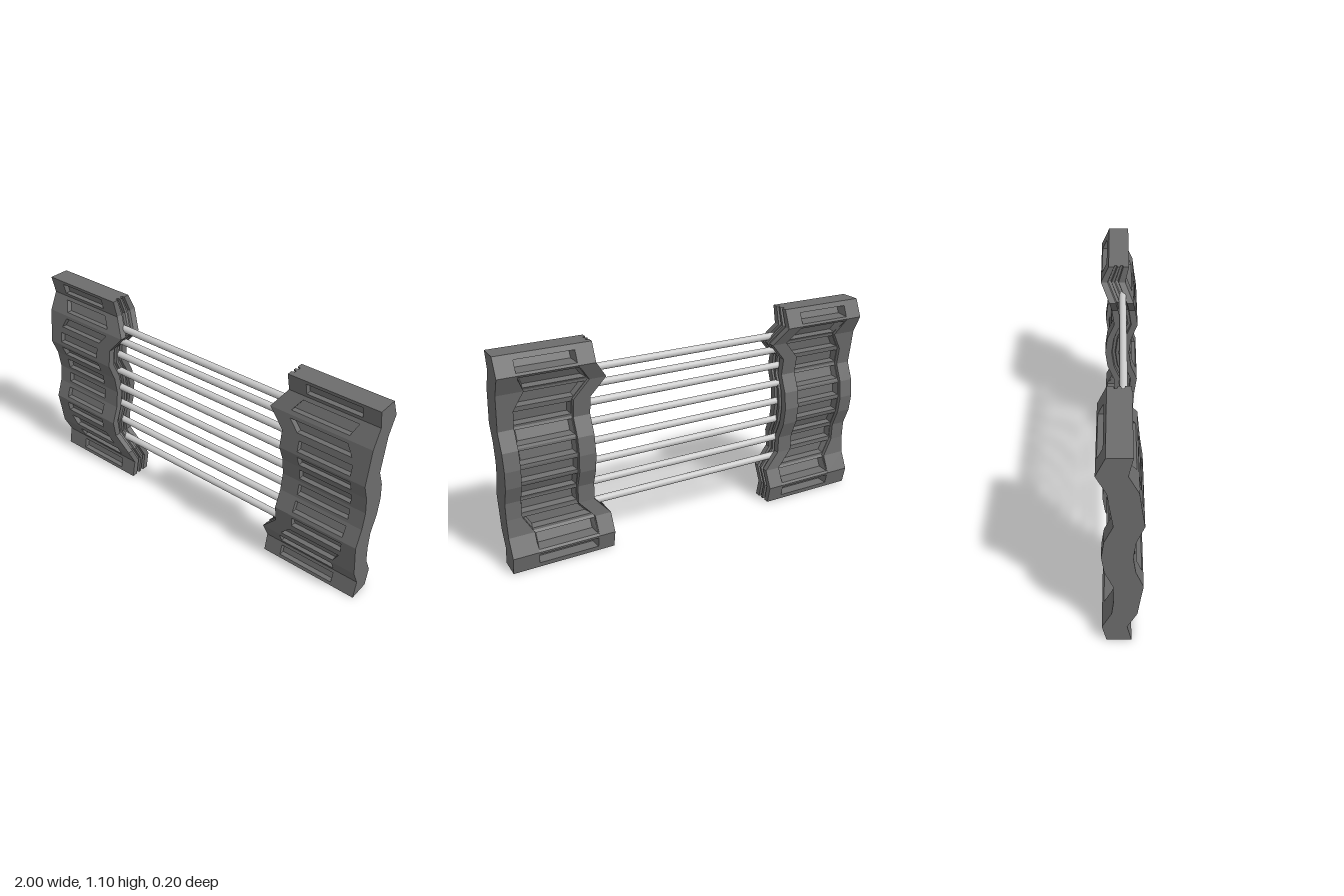
import * as THREE from 'three';

const ROWS = 12, H = 1.1, STEP = H / ROWS;
// Wavy section at each row boundary: front z, back z, inner edge x, depth of the rear rib below the back
const FRONT = [0.05, 0.03, 0.075, 0.087, 0.1, 0.065, 0.053, 0.065, 0.1, 0.087, 0.075, 0.03, 0.05];
const BACK = [-0.065, -0.085, -0.04, -0.03, -0.033, -0.07, -0.082, -0.07, -0.03, -0.043, -0.055, -0.1, -0.058];
const EDGE = [0.47, 0.47, 0.47, 0.55, 0.55, 0.55, 0.55, 0.55, 0.55, 0.55, 0.47, 0.535, 0.535];
const RIB = [0, 0, 0.02, 0.02, 0.02, 0.02, 0.02, 0.02, 0.02, 0.02, 0.02, 0, 0];
// Twin grooves along the inner edge: [fraction of thickness, inset]
const GROOVE = [[0, 0], [0.27, 0], [0.3, 0.015], [0.41, 0.015], [0.44, 0],
  [0.56, 0], [0.59, 0.015], [0.7, 0.015], [0.73, 0], [1, 0]];
const SLOT = 0.028, POCKET = 0.05;

function at(table, y) {
  const f = Math.min(Math.max(y / STEP, 0), ROWS);
  const i = Math.min(Math.floor(f), ROWS - 1);
  return THREE.MathUtils.lerp(table[i], table[i + 1], f - i);
}

// One side panel; side = 1 for +x, -1 for its mirror image
function panelGeometry(side) {
  const pos = [];
  const quad = (a, b, c, d) => {
    const order = side > 0 ? [a, b, c, a, c, d] : [a, c, b, a, d, c];
    for (const p of order) pos.push(p[0] * side, p[1], p[2]);
  };
  const ring = (outer, inner) => {
    for (let k = 0; k < 4; k++) {
      const n = (k + 1) % 4;
      quad(outer[k], outer[n], inner[n], inner[k]);
    }
  };
  const front = (x, y, depth = 0) => [x, y, at(FRONT, y) - depth];
  const back = (x, y, depth = 0) => [x, y, at(BACK, y) + depth];
  const rib = (x, y) => back(x, y, at(RIB, y));
  const floorPoint = (x, y) => back(x, y, POCKET);
  const slotFloor = (x, y) => front(x, y, SLOT);

  const edge = (y) => at(EDGE, y);
  const slotIn = (y) => edge(y) + 0.095;
  const pocketIn = (y) => edge(y) + 0.085;
  const slotOut = (y) => 0.87 + (edge(y) - 0.47) * 0.65;
  const rim = () => 1;
  // Four-corner loop on a surface, counter-clockwise from the front
  const loop = (point, xa, xb, y0, y1, inset = 0) => [
    point(xa(y0) + inset, y0), point(xb(y0) - inset, y0),
    point(xb(y1) - inset, y1), point(xa(y1) + inset, y1)];
  const across = (x, y, t) => [x, y, THREE.MathUtils.lerp(at(FRONT, y), at(BACK, y), t)];
  const groovePoint = (y, [t, inset]) => across(edge(y) + inset, y, t);

  for (let i = 0; i < ROWS; i++) {
    const y0 = i * STEP, y1 = y0 + STEP, mid = y0 + STEP / 2;

    // Front face with a recessed slot
    const mouth = loop(front, slotIn, slotOut, mid - 0.028, mid + 0.028);
    const floor = loop(slotFloor, slotIn, slotOut, mid - 0.028, mid + 0.028);
    ring(loop(front, edge, rim, y0, y1), mouth);
    ring(mouth, floor);
    quad(...floor);

    // Back frame with steps down to the ribs
    const strip = (y) => [
      back(edge(y), y), back(pocketIn(y), y), rib(pocketIn(y), y),
      rib(slotOut(y), y), back(slotOut(y), y), back(1, y)];
    const lo = strip(y0), hi = strip(y1);
    for (const j of [0, 1, 3, 4]) quad(lo[j], hi[j], hi[j + 1], lo[j + 1]);

    // Sloped pocket between two ribs
    const p0 = y0 + (i === 0 ? 0.025 : 0.012), p1 = y1 - (i === ROWS - 1 ? 0.025 : 0.012);
    const rear = loop(rib, pocketIn, slotOut, p0, p1, 0.003).reverse();
    const base = loop(floorPoint, pocketIn, slotOut, p0 + 0.01, p1 - 0.01, 0.015).reverse();
    ring(loop(rib, pocketIn, slotOut, y0, y1).reverse(), rear);
    ring(rear, base);
    quad(...base);

    // Grooved inner side and plain outer side
    for (let k = 0; k < GROOVE.length - 1; k++) {
      const g = GROOVE[k], h = GROOVE[k + 1];
      quad(groovePoint(y0, g), groovePoint(y1, g), groovePoint(y1, h), groovePoint(y0, h));
    }
    quad(front(1, y0), back(1, y0), back(1, y1), front(1, y1));
  }

  // Top and bottom end faces
  for (const y of [0, H]) {
    for (let k = 0; k < GROOVE.length - 1; k++) {
      const g = GROOVE[k], h = GROOVE[k + 1];
      const face = [groovePoint(y, g), across(1, y, g[0]), across(1, y, h[0]), groovePoint(y, h)];
      quad(...(y > 0 ? face : face.reverse()));
    }
  }

  const geometry = new THREE.BufferGeometry();
  geometry.setAttribute('position', new THREE.Float32BufferAttribute(pos, 3));
  geometry.computeVertexNormals();
  return geometry;
}

export function createModel() {
  const model = new THREE.Group();
  model.name = 'railPanels';
  const panelMaterial = new THREE.MeshStandardMaterial({ color: 0x6c6c6c, flatShading: true });
  const rodMaterial = new THREE.MeshStandardMaterial({ color: 0xcccccc });

  // Left and right panels
  for (const side of [1, -1]) {
    const panel = new THREE.Mesh(panelGeometry(side), panelMaterial);
    panel.name = side > 0 ? 'leftPanel' : 'rightPanel';
    model.add(panel);
  }

  // Horizontal rods joining the panels
  const rods = new THREE.Group();
  rods.name = 'rods';
  const rodGeometry = new THREE.CylinderGeometry(0.0185, 0.0185, 1.12, 20).rotateZ(Math.PI / 2);
  for (const y of [0.242, 0.352, 0.463, 0.568, 0.672, 0.775, 0.865, 0.945]) {
    const rod = new THREE.Mesh(rodGeometry, rodMaterial);
    rod.name = 'rod';
    rod.position.set(0, y, 0.016);
    rods.add(rod);
  }
  model.add(rods);
  return model;
}
